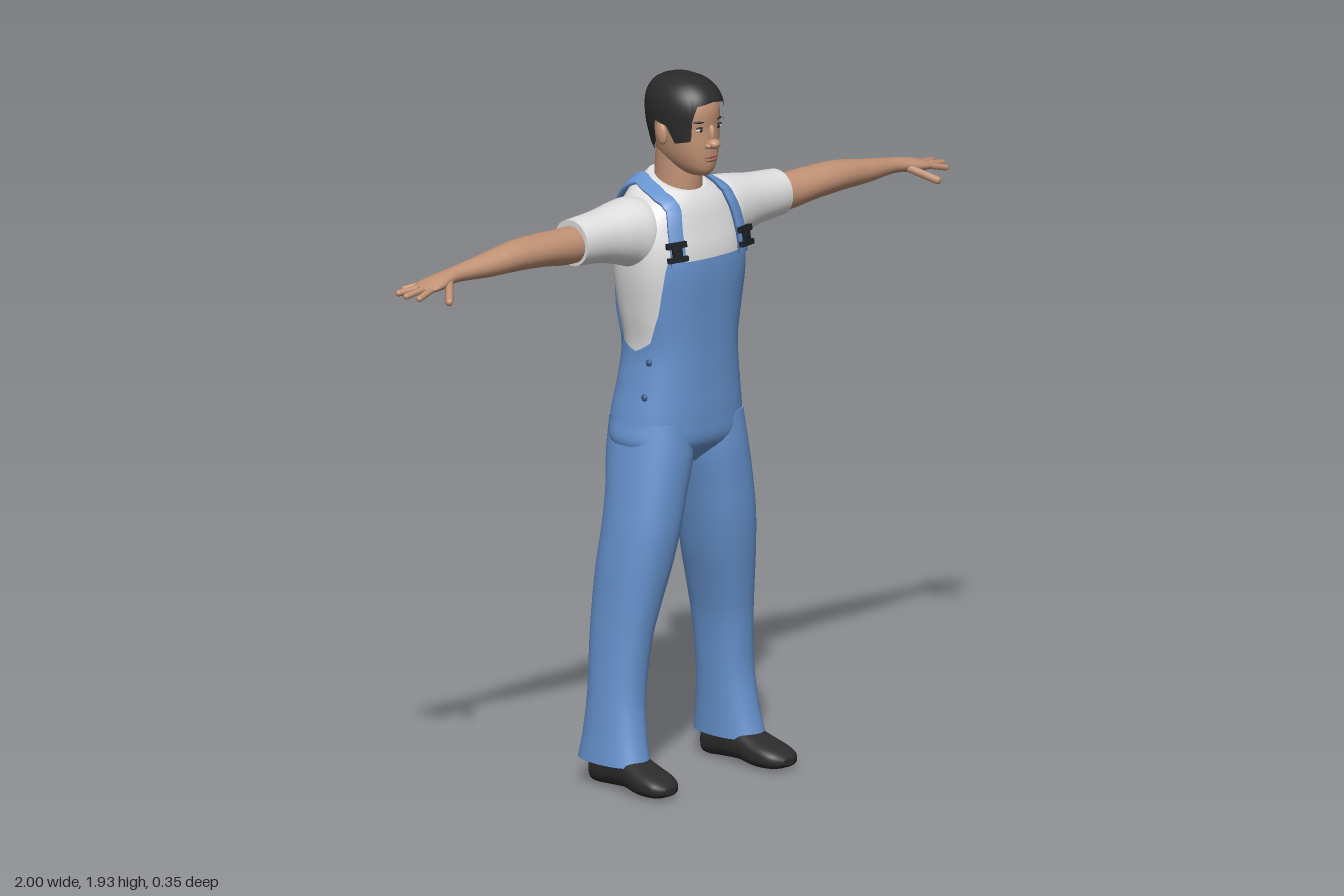
import * as THREE from 'three';

const mat = (name, color, side = THREE.FrontSide) => {
  const m = new THREE.MeshStandardMaterial({ color, side });
  m.name = name;
  return m;
};
const rad = THREE.MathUtils.degToRad;

// Smooth interpolation of table rows keyed by their first column
function sample(rows, t) {
  const last = rows.length - 1;
  let i = 0;
  while (i < last - 1 && t > rows[i + 1][0]) i++;
  const p = rows[i], q = rows[i + 1], h = q[0] - p[0];
  const u = THREE.MathUtils.clamp((t - p[0]) / h, 0, 1);
  const slope = (j, c) => {
    const a = rows[Math.max(j - 1, 0)], b = rows[Math.min(j + 1, last)];
    return (b[c] - a[c]) / (b[0] - a[0]);
  };
  return p.map((_, c) => c === 0 ? t :
    p[c] * (2 * u ** 3 - 3 * u * u + 1) + q[c] * (3 * u * u - 2 * u ** 3) +
    h * slope(i, c) * (u ** 3 - 2 * u * u + u) + h * slope(i + 1, c) * (u ** 3 - u * u));
}

// Piecewise-linear value by angle away from the front, in degrees
function byAngle(table, th) {
  let d = Math.abs(THREE.MathUtils.radToDeg(th)) % 360;
  if (d > 180) d = 360 - d;
  let i = 0;
  while (i < table.length - 2 && d > table[i + 1][0]) i++;
  const [a, va] = table[i], [b, vb] = table[i + 1];
  return va + (vb - va) * (d - a) / (b - a);
}

// Surface through cross-sections [t, aMin, aMax, bMin, bMax, tilt] along one axis (0 x, 1 y, 2 z)
function surface(rows, axis, power = 2) {
  const bend = v => Math.sign(v) * Math.abs(v) ** (2 / power);
  return (th, t, off = 0) => {
    const [, a0, a1, b0, b1, tilt = 0] = sample(rows, t);
    const da = ((a1 - a0) / 2 + off) * bend(Math.cos(th));
    const db = ((b1 - b0) / 2 + off) * bend(Math.sin(th));
    const p = [0, 0, 0];
    p[axis] = t - tilt * da;
    p[(axis + 1) % 3] = (a0 + a1) / 2 + da;
    p[(axis + 2) % 3] = (b0 + b1) / 2 + db;
    return new THREE.Vector3(...p);
  };
}

// Closed tube of m + 1 loops with n points each; the ends get crisp caps
function loops(n, m, point, capStart = true, capEnd = true) {
  const pos = [], idx = [];
  for (let j = 0; j <= m; j++) for (let i = 0; i < n; i++) pos.push(...point(i, j).toArray());
  for (let j = 0; j < m; j++) for (let i = 0; i < n; i++) {
    const a = j * n + i, b = j * n + (i + 1) % n;
    idx.push(a, b, b + n, a, b + n, a + n);
  }
  const cap = (j, flip) => {
    const base = pos.length / 3, mid = new THREE.Vector3();
    for (let i = 0; i < n; i++) {
      const p = point(i, j);
      mid.addScaledVector(p, 1 / n);
      pos.push(...p.toArray());
    }
    pos.push(...mid.toArray());
    for (let i = 0; i < n; i++) {
      const a = base + i, b = base + (i + 1) % n;
      idx.push(...(flip ? [b, a, base + n] : [a, b, base + n]));
    }
  };
  if (capStart) cap(0, true);
  if (capEnd) cap(m, false);
  const g = new THREE.BufferGeometry();
  g.setAttribute('position', new THREE.Float32BufferAttribute(pos, 3));
  g.setIndex(idx);
  g.computeVertexNormals();
  return g;
}

// Part of a surface between two limits, each a number or a function of angle
function skin(surf, lo, hi, { n = 40, m = 30, off = 0, start = true, end = true } = {}) {
  const at = (f, th) => typeof f === 'function' ? f(th) : f;
  return loops(n, m, (i, j) => {
    const th = i / n * Math.PI * 2, a = at(lo, th), b = at(hi, th);
    return surf(th, a + (b - a) * j / m, off);
  }, start, end);
}

// Flat band following [degrees, height] points over a surface
function band(surf, path, width, off, thick) {
  const curve = new THREE.CatmullRomCurve3(path.map(([d, y]) => new THREE.Vector3(rad(d), y, 0)));
  const at = u => { const c = curve.getPoint(THREE.MathUtils.clamp(u, 0, 1)); return surf(c.x, c.y, off); };
  return loops(4, 50, (i, j) => {
    const u = j / 50, c = curve.getPoint(u), p = at(u);
    const T = at(u + 0.01).sub(at(u - 0.01)).normalize();
    const dA = surf(c.x + 0.02, c.y, off).sub(surf(c.x - 0.02, c.y, off));
    const dT = surf(c.x, c.y + 0.004, off).sub(surf(c.x, c.y - 0.004, off));
    const N = dA.cross(dT).normalize(), B = T.clone().cross(N).normalize();
    return p.addScaledVector(N, i % 3 === 0 ? thick : -thick).addScaledVector(B, i < 2 ? width / 2 : -width / 2);
  });
}

export function createModel() {
  const denim = mat('denim blue', 0x6894d0, THREE.DoubleSide), cotton = mat('shirt white', 0xdedede, THREE.DoubleSide);
  const flesh = mat('skin', 0xc09174), hairMat = mat('hair black', 0x2a2a2a), leather = mat('shoe black', 0x2c2c2c);
  const metal = mat('buckle black', 0x1b1f26), lipMat = mat('lip brown', 0xa06c5a), white = mat('eye white', 0xd8d4ce);
  const stud = mat('stud blue', 0x3c5a8c);
  const model = new THREE.Group();
  const add = (name, geo, material, parent = model) => {
    const mesh = new THREE.Mesh(geo, material);
    mesh.name = name;
    parent.add(mesh);
    return mesh;
  };
  const ball = (name, material, p, s, parent) => {
    const b = add(name, new THREE.SphereGeometry(1, 20, 14), material, parent);
    b.position.set(...p);
    b.scale.set(...s);
    return b;
  };

  // Torso: shirt below, overalls as an outer layer with a shaped top edge
  const torso = surface([
    [0.87, -0.10, 0.02, -0.10, 0.10, 0], [0.93, -0.15, 0.082, -0.185, 0.185, 0], [1.0, -0.16, 0.092, -0.183, 0.183, 0],
    [1.1, -0.145, 0.093, -0.167, 0.167, 0], [1.2, -0.135, 0.095, -0.157, 0.157, 0], [1.3, -0.148, 0.10, -0.172, 0.172, 0],
    [1.4, -0.157, 0.106, -0.187, 0.187, 0], [1.47, -0.158, 0.103, -0.19, 0.19, 0], [1.53, -0.155, 0.088, -0.185, 0.185, 0],
    [1.575, -0.147, 0.075, -0.165, 0.165, 0], [1.61, -0.132, 0.063, -0.135, 0.135, 0.1],
    [1.63, -0.118, 0.054, -0.10, 0.10, 0.2], [1.645, -0.104, 0.046, -0.072, 0.072, 0.3],
  ], 1, 2.5);
  const bibEdge = [[0, 1.45], [43, 1.45], [47, 1.40], [55, 1.31], [70, 1.225], [90, 1.195], [112, 1.22], [130, 1.29],
    [150, 1.39], [162, 1.46], [170, 1.49], [180, 1.495]];
  add('shirt', skin(torso, 1.12, 1.645, { n: 64, m: 40 }), cotton);
  add('overalls', skin(torso, 0.87, th => byAngle(bibEdge, th), { n: 128, m: 40, off: 0.007, end: false }), denim);

  // Neck and head
  const neck = surface([[1.58, -0.095, 0.04, -0.066, 0.066], [1.66, -0.094, 0.044, -0.06, 0.06], [1.74, -0.088, 0.04, -0.058, 0.058]], 1);
  add('neck', skin(neck, 1.58, 1.74), flesh);
  const head = surface([
    [1.67, -0.01, 0.085, -0.022, 0.022], [1.685, -0.045, 0.098, -0.042, 0.042], [1.72, -0.082, 0.104, -0.062, 0.062],
    [1.76, -0.095, 0.104, -0.072, 0.072], [1.80, -0.104, 0.101, -0.078, 0.078], [1.85, -0.107, 0.102, -0.079, 0.079],
    [1.885, -0.098, 0.088, -0.069, 0.069], [1.913, -0.072, 0.055, -0.045, 0.045], [1.926, -0.035, 0.015, -0.016, 0.016],
  ], 1, 2.15);
  add('head', skin(head, 1.67, 1.92, { n: 48 }), flesh);
  const hairline = [[0, 1.868], [30, 1.86], [38, 1.83], [43, 1.765], [72, 1.755], [80, 1.80], [100, 1.81], [108, 1.75], [125, 1.72], [180, 1.712]];
  add('hair', skin(head, th => byAngle(hairline, th), 1.926, { n: 120, m: 24, off: 0.011, start: false }), hairMat).position.y = 0.009;
  ball('nose', flesh, [0, 1.762, 0.11], [0.018, 0.014, 0.02]);
  ball('noseBridge', flesh, [0, 1.783, 0.102], [0.010, 0.03, 0.012]);
  ball('upperLip', lipMat, [0, 1.727, 0.103], [0.024, 0.006, 0.008]);
  ball('lowerLip', lipMat, [0, 1.717, 0.102], [0.02, 0.006, 0.008]);

  // Everything that comes in pairs, built on the model's left
  const leg = surface([
    [0.07, -0.165, 0.065, 0.147, 0.28], [0.14, -0.152, 0.048, 0.145, 0.272], [0.25, -0.141, 0.033, 0.138, 0.263],
    [0.4, -0.145, 0.042, 0.122, 0.253], [0.5, -0.146, 0.057, 0.098, 0.247], [0.6, -0.143, 0.074, 0.07, 0.241],
    [0.7, -0.135, 0.087, 0.048, 0.231], [0.8, -0.137, 0.092, 0.027, 0.217], [0.9, -0.153, 0.094, 0.002, 0.202],
    [1.0, -0.155, 0.088, -0.005, 0.185],
  ], 1, 2.3);
  const shoe = surface([
    [-0.122, 0.175, 0.235, 0.012, 0.06], [-0.11, 0.163, 0.25, 0.002, 0.09], [-0.05, 0.163, 0.255, 0.004, 0.11],
    [0.02, 0.158, 0.262, 0.008, 0.098], [0.08, 0.156, 0.272, 0.001, 0.077], [0.13, 0.162, 0.272, 0.002, 0.062],
    [0.16, 0.178, 0.262, 0.008, 0.048], [0.173, 0.20, 0.24, 0.017, 0.035],
  ], 2, 2.6);
  const sleeve = surface([
    [0.08, 1.47, 1.59, -0.10, 0.03], [0.15, 1.42, 1.614, -0.132, 0.05], [0.2, 1.435, 1.612, -0.127, 0.042],
    [0.28, 1.457, 1.60, -0.112, 0.028], [0.38, 1.467, 1.592, -0.105, 0.021],
  ], 0, 2.1);
  const arm = surface([
    [0.3, 1.48, 1.58, -0.09, 0.01], [0.4, 1.475, 1.575, -0.094, 0.012], [0.5, 1.487, 1.577, -0.094, 0.014],
    [0.6, 1.494, 1.576, -0.084, 0.01], [0.7, 1.495, 1.56, -0.077, -0.003], [0.8, 1.5, 1.544, -0.071, -0.019],
    [0.84, 1.498, 1.538, -0.073, -0.016], [0.88, 1.492, 1.53, -0.083, -0.006], [0.915, 1.492, 1.519, -0.086, -0.006],
    [0.937, 1.496, 1.51, -0.073, -0.017],
  ], 0);
  // Each finger: base x, y, z then tip x, y, z
  const fingers = {
    thumb: [0.85, 1.51, -0.022, 0.902, 1.478, 0.032], indexFinger: [0.915, 1.506, -0.018, 0.972, 1.492, -0.01],
    middleFinger: [0.925, 1.505, -0.038, 0.99, 1.496, -0.041], ringFinger: [0.92, 1.505, -0.058, 0.985, 1.497, -0.076],
    littleFinger: [0.895, 1.507, -0.075, 0.94, 1.495, -0.101],
  };
  const strapPath = [[31, 1.44], [31, 1.53], [33, 1.58], [42, 1.61], [68, 1.628], [90, 1.635], [120, 1.635], [140, 1.61],
    [156, 1.56], [170, 1.47]];
  for (const side of ['left', 'right']) {
    const half = new THREE.Group();
    half.name = side + 'Side';
    if (side === 'right') half.scale.x = -1;
    model.add(half);
    add('trouserLeg', skin(leg, 0.07, 1.0, { m: 48 }), denim, half);
    add('shoe', skin(shoe, -0.122, 0.173, { n: 32 }), leather, half);
    add('sleeve', skin(sleeve, 0.08, 0.38), cotton, half);
    add('arm', skin(arm, 0.3, 0.937, { n: 28, m: 44 }), flesh, half);
    for (const [name, f] of Object.entries(fingers)) {
      const a = new THREE.Vector3(...f.slice(0, 3)), d = new THREE.Vector3(...f.slice(3)).sub(a);
      const r = name === 'thumb' ? 0.011 : 0.0088;
      const finger = add(name, new THREE.CapsuleGeometry(r, d.length(), 5, 10), flesh, half);
      finger.position.copy(a).addScaledVector(d, 0.5);
      finger.quaternion.setFromUnitVectors(new THREE.Vector3(0, 1, 0), d.normalize());
    }
    add('strap', band(torso, strapPath, 0.04, 0.011, 0.005), denim, half);
    // Strap buckle: two bars joined by a tongue
    for (const [y, w, h] of [[1.502, 0.058, 0.016], [1.483, 0.026, 0.04], [1.464, 0.058, 0.014]]) {
      const bar = add('buckle', new THREE.BoxGeometry(w, h, 0.014), metal, half);
      bar.position.copy(torso(rad(32), y, 0.021));
      bar.rotation.set(-0.15, 0.3, 0);
    }
    for (const y of [1.17, 1.075]) ball('sideStud', stud, torso(rad(72), y, 0.008).toArray(), [0.006, 0.01, 0.01], half);
    // Face
    const onFace = (x, y, dz) => [x, y, head(Math.asin(Math.min(1, x / 0.078)), y).z + dz];
    ball('ear', flesh, [0.083, 1.785, -0.004], [0.011, 0.032, 0.019], half).rotation.x = -0.15;
    ball('nostril', flesh, [0.014, 1.757, 0.104], [0.009, 0.008, 0.012], half);
    ball('eye', white, onFace(0.032, 1.802, -0.001), [0.014, 0.0055, 0.005], half);
    ball('iris', hairMat, onFace(0.032, 1.802, 0.002), [0.0055, 0.0055, 0.004], half);
    ball('eyelid', hairMat, onFace(0.032, 1.808, 0), [0.016, 0.0025, 0.005], half);
    ball('eyebrow', hairMat, onFace(0.034, 1.823, -0.001), [0.019, 0.0035, 0.005], half).rotation.y = 0.3;
  }
  return model;
}
